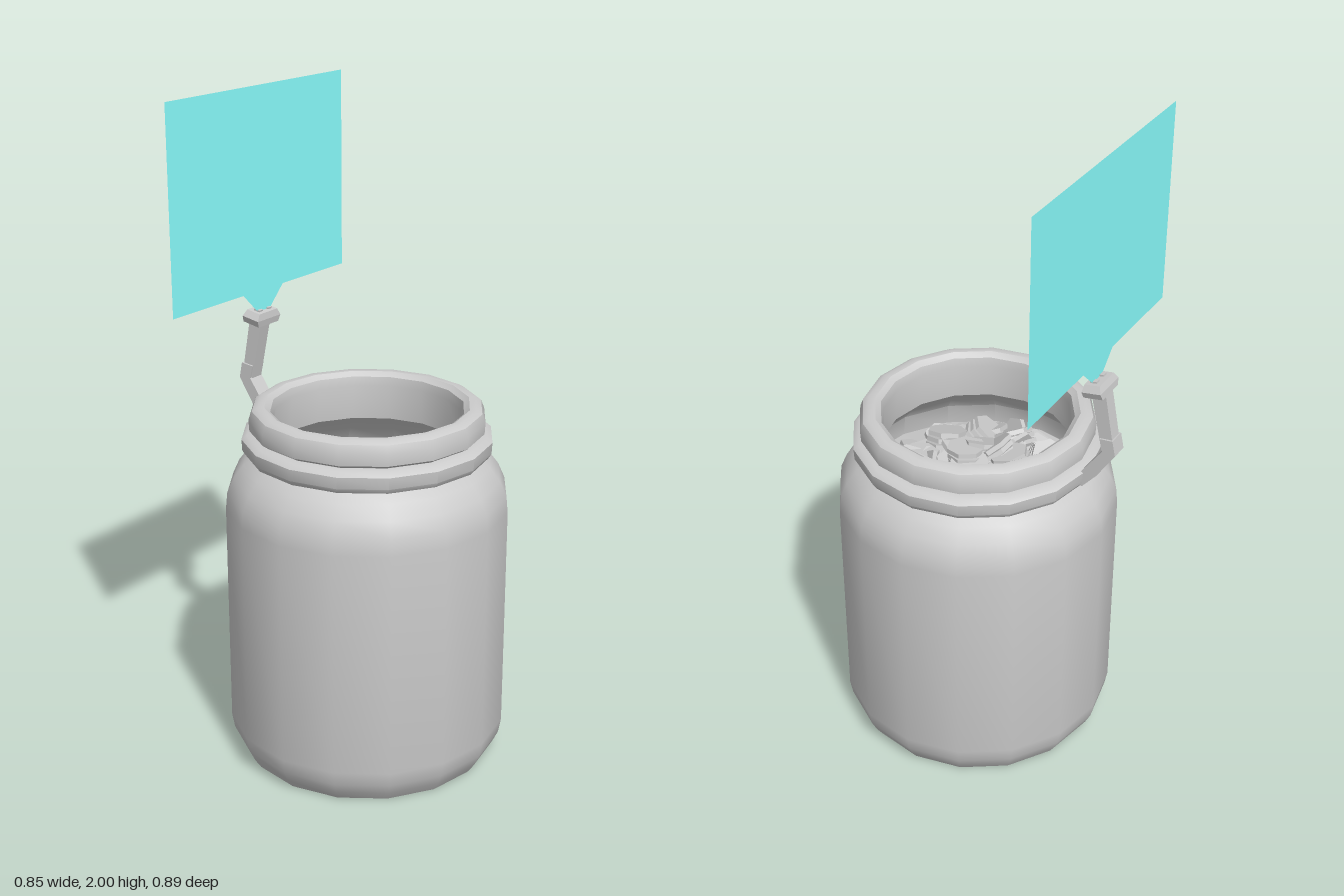
import * as THREE from 'three';
import { toCreasedNormals } from 'three/addons/utils/BufferGeometryUtils.js';

const grey = new THREE.MeshStandardMaterial({ color: 0xcccccc });
const flatGrey = new THREE.MeshStandardMaterial({ color: 0xcccccc, flatShading: true });
const teal = new THREE.MeshStandardMaterial({ color: 0x8affff, side: THREE.DoubleSide });

function add(parent, name, geometry, material) {
  const mesh = new THREE.Mesh(geometry, material);
  mesh.name = name;
  parent.add(mesh);
  return mesh;
}

// 16-sided turned part from [radius, y] pairs, soft bends stay smooth
function turned(profile, crease = 0.62) {
  const points = profile.map(([r, y]) => new THREE.Vector2(r, y));
  return toCreasedNormals(new THREE.LatheGeometry(points, 16), crease);
}

// Side outline in [depth behind centre, y], extruded across x
function sideExtrude(outline, width) {
  const shape = new THREE.Shape(outline.map(([u, y]) => new THREE.Vector2(u, y)));
  return new THREE.ExtrudeGeometry(shape, { depth: width, bevelEnabled: false })
    .translate(0, 0, -width / 2)
    .rotateY(Math.PI / 2);
}

function seeded(seed) {
  return () => {
    seed = (seed * 16807) % 2147483647;
    return seed / 2147483647;
  };
}

function createJar() {
  const jar = new THREE.Group();
  jar.name = 'jar';
  jar.position.z = 0.02;

  // Body, neck, rounded lip and inner wall in one profile
  add(jar, 'jarBody', turned([
    [0, 0], [0.38, 0], [0.4, 0.03], [0.417, 0.065], [0.425, 0.11],
    [0.425, 0.8], [0.42, 0.85], [0.4, 0.895], [0.37, 0.935], [0.335, 0.962],
    [0.335, 1.03], [0.35, 1.04], [0.352, 1.075], [0.342, 1.1], [0.325, 1.11],
    [0.305, 1.11], [0.288, 1.097], [0.282, 1.07], [0.29, 0.96],
    [0.34, 0.91], [0.385, 0.86], [0.395, 0.79],
  ]), grey);

  // Band around the neck
  add(jar, 'neckBand', turned([
    [0.33, 0.962], [0.362, 0.965], [0.372, 0.98], [0.374, 1.015],
    [0.358, 1.027], [0.33, 1.03],
  ]), grey);

  jar.add(createCoins());
  return jar;
}

function createCoins() {
  const pile = new THREE.Group();
  pile.name = 'coinPile';
  const rand = seeded(4711);

  // Heap surface beneath the loose coins
  add(pile, 'coinHeap', turned([[0.395, 0.79], [0.28, 0.81], [0.14, 0.84], [0, 0.85]]), flatGrey);

  const coin = new THREE.CylinderGeometry(0.062, 0.062, 0.014, 7);
  const count = 110;
  for (let i = 0; i < count; i++) {
    // Even spiral spread, with small stacks here and there
    const r = 0.27 * Math.sqrt((i + 0.5) / count);
    const angle = i * 2.39996;
    const stack = new THREE.Group();
    stack.name = 'coinStack';
    stack.position.set(
      r * Math.sin(angle),
      0.875 - 0.16 * r + (rand() - 0.5) * 0.035,
      r * Math.cos(angle));
    const steep = i % 7 === 0 ? 1.0 : 0.45;
    stack.rotation.set((rand() - 0.5) * 2 * steep, rand() * 6.28, (rand() - 0.5) * 2 * steep);
    const layers = i % 5 === 0 ? 3 : 1;
    for (let k = 0; k < layers; k++) {
      const piece = add(stack, 'coin', coin, flatGrey);
      piece.position.set(k * 0.006, k * 0.018, 0);
      piece.rotation.y = k * 0.1;
    }
    pile.add(stack);
  }
  return pile;
}

function createArm() {
  const arm = new THREE.Group();
  arm.name = 'signArm';

  add(arm, 'lowerArm', sideExtrude([
    [0.335, 0.97], [0.346, 0.968], [0.39, 1.02], [0.446, 1.107], [0.436, 1.155],
    [0.395, 1.15], [0.405, 1.11], [0.335, 1.01],
  ], 0.054), flatGrey);
  add(arm, 'upperArm', sideExtrude([
    [0.4, 1.11], [0.438, 1.12], [0.405, 1.3], [0.36, 1.295],
  ], 0.042), flatGrey);

  // Projector head: a box narrowed at its foot and crown
  const head = new THREE.Group();
  head.name = 'projectorHead';
  head.position.set(0, 1.31, -0.376);
  head.rotation.x = 0.17;
  const box = new THREE.BoxGeometry(0.108, 0.04, 0.06, 1, 2, 1);
  const p = box.attributes.position;
  for (let i = 0; i < p.count; i++) {
    const y = p.getY(i);
    const scale = y > 0.01 ? 0.78 : y < -0.01 ? 0.86 : 1;
    p.setX(i, p.getX(i) * scale);
    p.setZ(i, p.getZ(i) * (y > 0.01 ? 0.8 : 1));
  }
  add(head, 'headBlock', box, flatGrey);
  for (const side of [-1, 1]) {
    add(head, 'lens', new THREE.BoxGeometry(0.018, 0.008, 0.02), flatGrey)
      .position.set(side * 0.021, 0.021, 0.002);
  }
  arm.add(head);
  return arm;
}

function createSign() {
  const sign = new THREE.Group();
  sign.name = 'projectedSign';
  sign.position.z = -0.37;

  add(sign, 'signPanel', new THREE.PlaneGeometry(0.8, 0.61), teal).position.y = 1.695;

  // Light cone rising from the projector in front of the panel
  const beam = new THREE.Shape([
    new THREE.Vector2(0, 1.3), new THREE.Vector2(0.205, 1.5), new THREE.Vector2(-0.205, 1.5),
  ]);
  add(sign, 'lightBeam', new THREE.ShapeGeometry(beam), teal).position.z = 0.003;
  return sign;
}

export function createModel() {
  const model = new THREE.Group();
  model.name = 'tipJar';
  model.add(createJar(), createArm(), createSign());
  return model;
}
